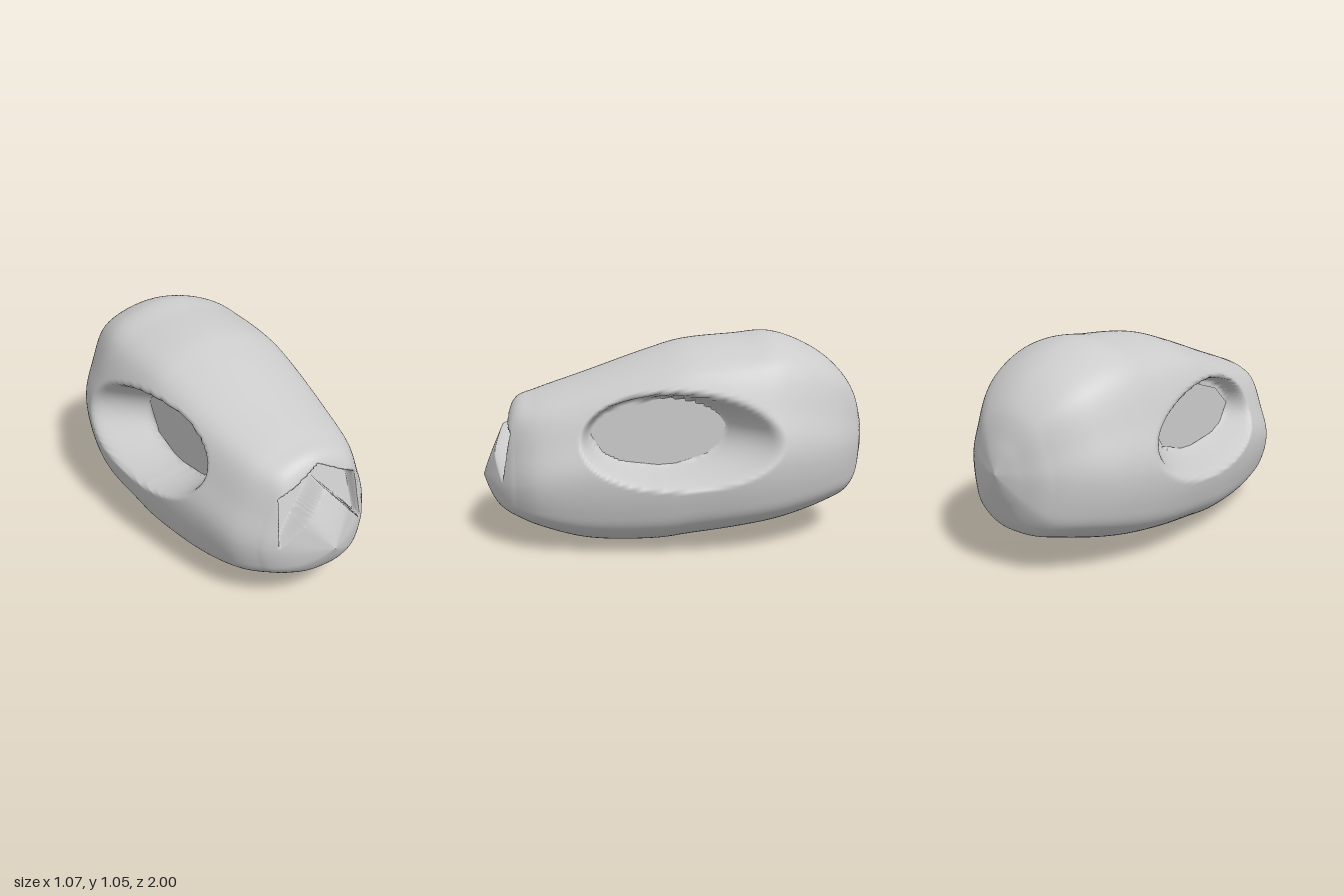
import * as THREE from 'three';

// stations from snout tip to back: z, top y, bottom y, half width, y of widest point
const stations = [
  [1.0, 0.33, 0.33, 0, 0.33],
  [0.965, 0.425, 0.25, 0.09, 0.33],
  [0.92, 0.53, 0.185, 0.18, 0.335],
  [0.87, 0.64, 0.15, 0.255, 0.345],
  [0.82, 0.73, 0.125, 0.305, 0.36],
  [0.72, 0.77, 0.085, 0.38, 0.38],
  [0.48, 0.85, 0.015, 0.445, 0.42],
  [0.13, 0.97, 0.005, 0.51, 0.46],
  [-0.03, 1.015, 0.025, 0.525, 0.48],
  [-0.3, 1.04, 0.06, 0.535, 0.5],
  [-0.5, 1.05, 0.09, 0.5, 0.52],
  [-0.74, 0.95, 0.155, 0.4, 0.52],
  [-0.89, 0.81, 0.21, 0.255, 0.51],
  [-0.96, 0.65, 0.36, 0.12, 0.51],
  [-1.0, 0.51, 0.51, 0, 0.51],
];

// half of the unit cross-section, crown to underside
const halfRing = [[0, 1], [0.42, 0.92], [0.69, 0.76], [0.89, 0.34], [1, 0],
  [0.96, -0.45], [0.86, -0.7], [0.48, -0.94], [0, -1]];

// eye socket floor outline in z, y
const socketRim = [[0.45, 0.59], [0.34, 0.69], [0.09, 0.77], [-0.14, 0.74],
  [-0.22, 0.62], [-0.13, 0.48], [0.07, 0.42], [0.37, 0.46]];
const SOCKET_X = 0.27;

const clamp01 = (v) => Math.min(1, Math.max(0, v));

// minimum with a rounded transition of width k
function softMin(a, b, k) {
  const h = Math.max(k - Math.abs(a - b), 0) / k;
  return Math.min(a, b) - h * h * k * 0.25;
}

// presses the eye sockets and the nose opening into the surface
function carve(p) {
  const ax = Math.abs(p.x);
  // socket: steep walls, with a gentler slope towards the back
  const dz = (p.z - 0.115) / 0.335;
  const d = Math.hypot(dz, (p.y - 0.595) / 0.175);
  const back = clamp01(-dz / Math.max(d, 0.01));
  const limit = SOCKET_X + Math.max(0, d - 1) * (0.85 - 0.52 * back);
  if (d < 2.4) p.x = Math.sign(p.x) * Math.max(0, softMin(ax, limit, 0.04));
  // nose: upside-down V, recessed
  if (p.z > 0.7) {
    const inside = Math.min(
      0.7 - 0.51 * ax - p.y,
      (p.y - (0.6 - 1.085 * ax)) * 0.68,
      0.215 + (0.59 - p.y) * 0.08 - ax);
    const floor = 0.79 + 0.27 * (0.6 - p.y);
    if (inside > 0 && p.z > floor) p.z += (floor - p.z) * clamp01(inside / 0.012);
  }
  return p;
}

function skullGeometry() {
  const curve = (points, closed = false) => new THREE.CatmullRomCurve3(points, closed);
  const heights = curve(stations.map(([z, t, b]) => new THREE.Vector3(z, t, b)));
  const widths = curve(stations.map(([z, , , w, m]) => new THREE.Vector3(z, w, m)));
  const mirrored = halfRing.slice(1, -1).reverse().map(([x, y]) => [-x, y]);
  const ring = curve([...halfRing, ...mirrored].map(([x, y]) => new THREE.Vector3(x, y, 0)), true);

  // finer rings along the eye sockets
  const steps = [];
  const last = stations.length - 1;
  for (let s = 0; s < last; s++) {
    const n = s >= 5 && s <= 9 ? 24 : 14;
    for (let k = 0; k < n; k++) steps.push((s + k / n) / last);
  }
  steps.push(1);

  const N = 192;
  const unit = Array.from({ length: N }, (_, j) => ring.getPoint(j / N));
  const pos = [], index = [];
  steps.forEach((t, i) => {
    const h = heights.getPoint(t), w = widths.getPoint(t);
    unit.forEach((u, j) => {
      const reach = u.y > 0 ? h.y - w.z : w.z - h.z;
      const p = carve(new THREE.Vector3(u.x * w.y, w.z + u.y * reach, h.x));
      pos.push(p.x, p.y, p.z);
      if (i === steps.length - 1) return;
      const a = i * N + j, b = i * N + (j + 1) % N;
      if (i > 0) index.push(a, b, a + N);
      if (i < steps.length - 2) index.push(b, b + N, a + N);
    });
  });
  const geo = new THREE.BufferGeometry();
  geo.setAttribute('position', new THREE.Float32BufferAttribute(pos, 3));
  geo.setIndex(index);
  geo.computeVertexNormals();
  return geo;
}

// flat eight-sided plate at the bottom of a socket
function socketFloor(side, material) {
  const shape = new THREE.Shape(socketRim.map(([z, y]) => new THREE.Vector2(z, y)));
  const mesh = new THREE.Mesh(new THREE.ShapeGeometry(shape), material);
  mesh.rotation.y = -Math.PI / 2;
  mesh.position.x = side * (SOCKET_X + 0.006);
  mesh.name = side > 0 ? 'leftSocketFloor' : 'rightSocketFloor';
  return mesh;
}

export function createModel() {
  const group = new THREE.Group();
  group.name = 'skull';
  const bone = new THREE.MeshStandardMaterial({ color: 0xcccccc });
  const plate = new THREE.MeshStandardMaterial({ color: 0xcccccc, side: THREE.DoubleSide });
  const cranium = new THREE.Mesh(skullGeometry(), bone);
  cranium.name = 'cranium';
  group.add(cranium);
  for (const side of [1, -1]) group.add(socketFloor(side, plate));
  return group;
}
